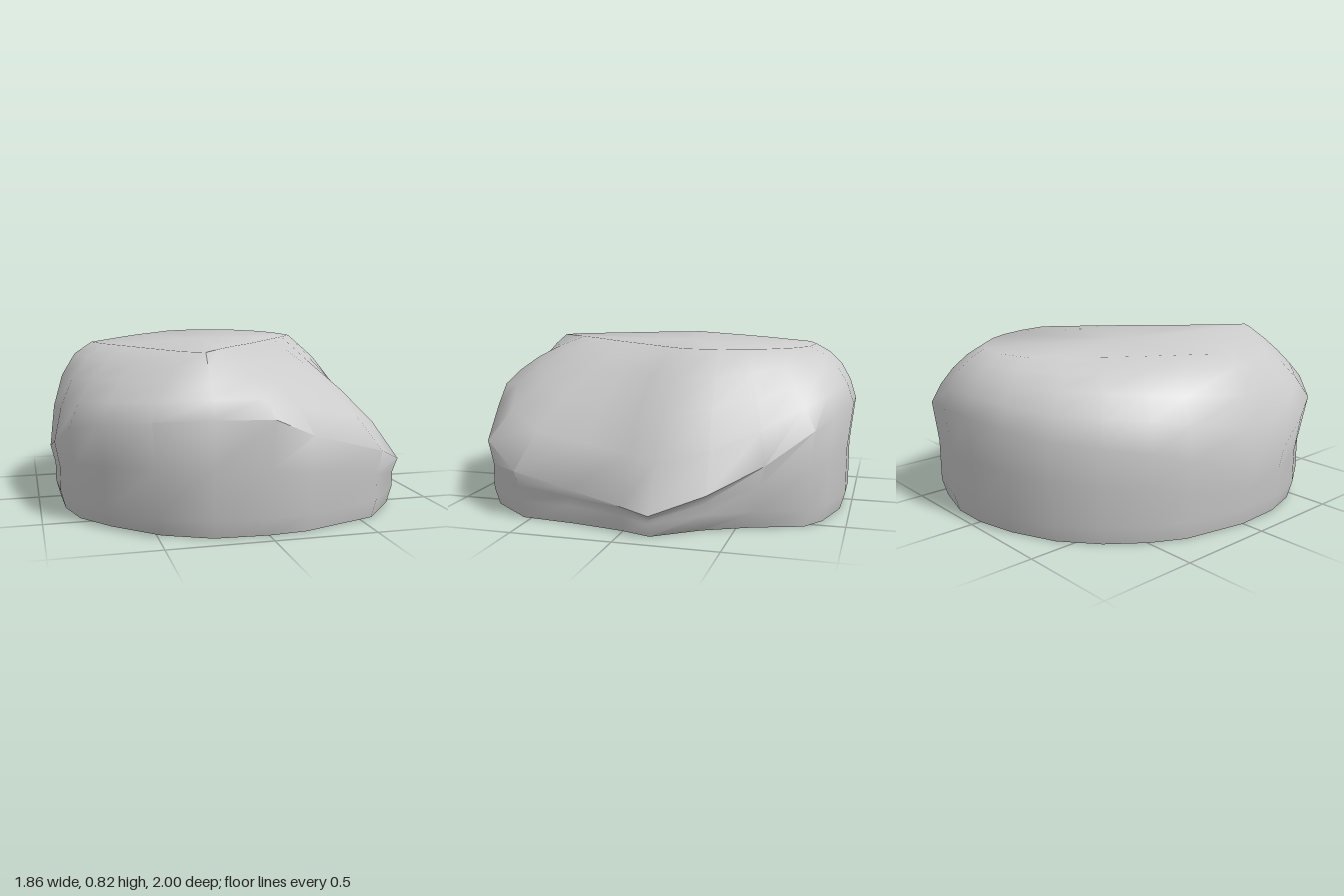
import * as THREE from 'three';
import { toCreasedNormals } from 'three/addons/utils/BufferGeometryUtils.js';

const TOP = 0.825;

// Around the boulder: widest x, z | plateau edge x, z | shoulder height | roundness | base scale
const COLUMNS = [
  [0.93, -0.15, 0.46, -0.2, 0.11, 0.35],
  [0.84, -0.4, 0.45, -0.36, 0.2, 0.3, 0.87],
  [0.7, -0.64, 0.41, -0.5, 0.32, 0.25, 0.89],
  [0.57, -0.85, 0.36, -0.6, 0.47, 0.2],
  [0.45, -0.93, 0.28, -0.7, 0.52, 0.35],
  [0.2, -1, 0.17, -0.77, 0.55, 0.55],
  [0, -1, 0, -0.79, 0.55, 0.55],
  [-0.22, -0.95, -0.15, -0.74, 0.53, 0.5],
  [-0.45, -0.85, -0.27, -0.6, 0.5, 0.55],
  [-0.63, -0.7, -0.39, -0.46, 0.48, 0.6],
  [-0.77, -0.52, -0.49, -0.32, 0.45, 0.6],
  [-0.86, -0.35, -0.58, -0.18, 0.4, 0.65],
  [-0.93, 0, -0.7, 0, 0.28, 0.75],
  [-0.92, 0.25, -0.64, 0.15, 0.35, 0.6],
  [-0.86, 0.46, -0.55, 0.3, 0.45, 0.45],
  [-0.75, 0.67, -0.46, 0.46, 0.5, 0.3, 0.91],
  [-0.53, 0.89, -0.34, 0.66, 0.54, 0.15, 0.9],
  [-0.27, 0.95, -0.25, 0.72, 0.55, 0.25],
  [0, 1, -0.14, 0.56, 0.55, 0.3, 0.92],
  [0.2, 0.95, -0.04, 0.43, 0.46, 0.35],
  [0.6, 0.81, 0.08, 0.3, 0.34, 0.35],
  [0.8, 0.57, 0.18, 0.17, 0.24, 0.35],
  [0.83, 0.28, 0.28, 0.04, 0.18, 0.4],
  [0.88, 0, 0.38, -0.09, 0.13, 0.4],
];

// Vertical profile of one column, from the base up to the plateau edge
function profile([ox, oz, px, pz, h, round, base = 0.95]) {
  const foot = Math.min(0.09, h * 0.6);
  const waist = (base + 1) / 2;
  const outer = new THREE.Vector3(ox, h, oz);
  const edge = new THREE.Vector3(px, TOP, pz);
  const corner = new THREE.Vector3(ox, TOP, oz);
  const control = outer.clone().lerp(edge, 0.5).lerp(corner, round);
  const shoulder = new THREE.QuadraticBezierCurve3(outer, control, edge);
  return [
    new THREE.Vector3(ox * base, 0, oz * base),
    new THREE.Vector3(ox * waist, foot, oz * waist),
    new THREE.Vector3(ox * waist, (foot + h) / 2, oz * waist),
    ...shoulder.getPoints(4),
  ];
}

export function createModel() {
  const group = new THREE.Group();
  group.name = 'boulder';

  const columns = COLUMNS.map(profile);
  const n = columns.length;
  const rows = columns[0].length;
  const positions = columns.flatMap((c) => c.flatMap((p) => [p.x, p.y, p.z]));
  const index = [];
  const bottom = n * rows;
  const top = bottom + 1;
  positions.push(0, 0, 0, -0.1, TOP, -0.1);

  for (let j = 0; j < n; j++) {
    const a = j * rows;
    const b = ((j + 1) % n) * rows;
    // Sides
    for (let i = 0; i < rows - 1; i++) {
      index.push(a + i, b + i, b + i + 1, a + i, b + i + 1, a + i + 1);
    }
    // Flat underside and plateau
    index.push(bottom, b, a, top, a + rows - 1, b + rows - 1);
  }

  const geometry = new THREE.BufferGeometry();
  geometry.setAttribute('position', new THREE.Float32BufferAttribute(positions, 3));
  geometry.setIndex(index);
  const rock = new THREE.Mesh(
    toCreasedNormals(geometry, 1),
    new THREE.MeshStandardMaterial({ color: 0xcccccc }),
  );
  rock.name = 'rock';
  group.add(rock);
  return group;
}
